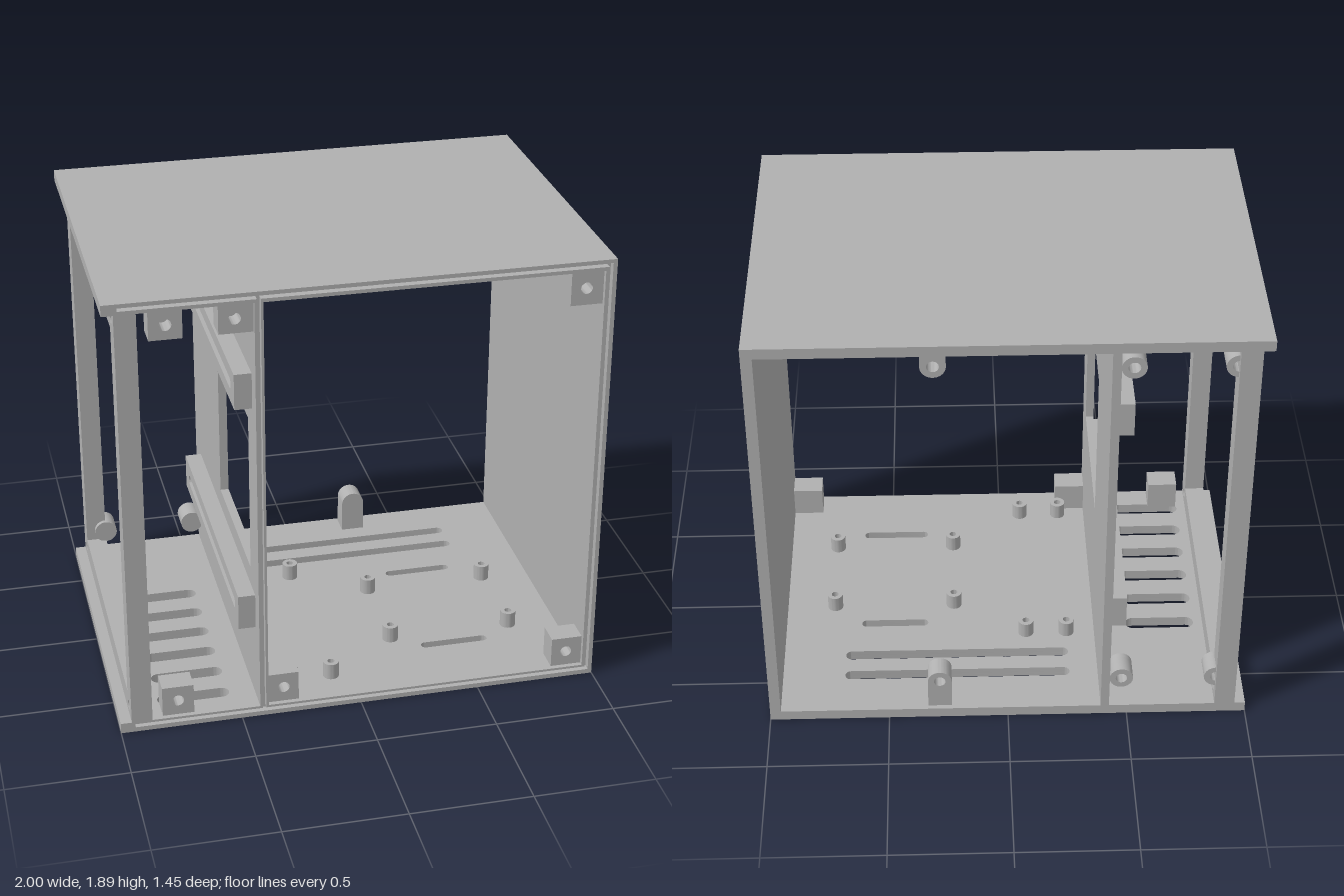
import * as THREE from 'three';
import { toCreasedNormals } from 'three/addons/utils/BufferGeometryUtils.js';

const W = 1, H = 1.89, D = 0.725, T = 0.045;   // half width, height, half depth, wall
const DIV = [-0.425, -0.39];                   // divider x range
const GROOVE = 0.03;                           // depth of the front lip groove

// ---- 2D outlines ----
const poly = (pts) => new THREE.Shape(pts.map(([x, y]) => new THREE.Vector2(x, y)));
const rect = (x0, x1, y0, y1) => poly([[x0, y0], [x1, y0], [x1, y1], [x0, y1]]);
const disc = (x, y, r) => new THREE.Shape().absarc(x, y, r, 0, Math.PI * 2, false);
const slot = (x0, x1, y, w) => {
  const r = w / 2;
  return new THREE.Shape()
    .absarc(x1 - r, y, r, -Math.PI / 2, Math.PI / 2, false)
    .absarc(x0 + r, y, r, Math.PI / 2, Math.PI * 1.5, false)
    .closePath();
};

export function createModel() {
  const model = new THREE.Group();
  model.name = 'enclosure';
  const grey = new THREE.MeshStandardMaterial({ color: 0xb0b0b0 });
  grey.name = 'grey plastic';

  const add = (name, geometry) => {
    const mesh = new THREE.Mesh(geometry, grey);
    mesh.name = name;
    model.add(mesh);
    return mesh;
  };
  const box = (name, x0, x1, y0, y1, z0, z1) =>
    add(name, new THREE.BoxGeometry(x1 - x0, y1 - y0, z1 - z0)
      .translate((x0 + x1) / 2, (y0 + y1) / 2, (z0 + z1) / 2));

  // Extrude an outline with holes along one axis, from a to b.
  // Outline coordinates: z -> (x, y), y -> (x, -z), x -> (-z, y)
  const extrude = (name, axis, outline, holes, a, b) => {
    const shape = outline.clone();
    shape.holes = holes;
    let g = new THREE.ExtrudeGeometry(shape, { depth: b - a, bevelEnabled: false, curveSegments: 16 });
    g.translate(0, 0, a);
    if (axis === 'y') g.rotateX(-Math.PI / 2);
    if (axis === 'x') g.rotateY(Math.PI / 2);
    return add(name, toCreasedNormals(g, 0.6));
  };
  // Screw block along z: bored from one end, closed by a thin web at the other
  const bored = (name, outline, hole, zOpen, zClosed) => {
    const web = zClosed + Math.sign(zOpen - zClosed) * 0.02;
    extrude(name, 'z', outline, [hole], Math.min(zOpen, web), Math.max(zOpen, web));
    extrude(name + 'Web', 'z', outline, [], Math.min(web, zClosed), Math.max(web, zClosed));
  };

  const zf = D - GROOVE;

  // ---- floor with ventilation slots and foot recesses ----
  const slots = [
    slot(-0.27, 0.69, 0.51, 0.05), slot(-0.27, 0.69, 0.385, 0.05),
    slot(0.335, 0.625, 0.18, 0.04), slot(0.335, 0.625, -0.43, 0.04),
  ];
  for (let i = 0; i < 6; i++) slots.push(slot(-0.83, -0.53, 0.21 - i * 0.16, 0.065));
  const feet = [disc(0.83, 0.555, 0.068), disc(-0.83, 0.555, 0.068)];
  const plan = rect(-W, W, -zf, D);
  extrude('floorUnderside', 'y', plan, [...slots, ...feet], 0, 0.02);
  extrude('floor', 'y', plan, slots, 0.02, T);

  // ---- roof, side wall and divider with window ----
  box('roof', -W, W, H - T, H, -D, zf);
  box('sideWall', W - T, W, T, H - T, -D, zf);
  extrude('divider', 'x', rect(-zf, D, T, H - T), [rect(-0.56, 0.105, 0.61, 1.285)], ...DIV);

  // ---- grooved front edge: outer lip and inner rim ----
  extrude('frontLip', 'z',
    poly([[-W, 0], [W, 0], [W, H], [-W, H], [-W, H - T], [DIV[0], H - T], [DIV[0], T], [-W, T]]),
    [poly([[-0.94, 0.02], [0.983, 0.02], [0.983, 1.875], [-0.94, 1.875],
      [-0.94, 1.86], [-0.415, 1.86], [-0.415, 0.035], [-0.94, 0.035]])], zf, D);
  extrude('frontRim', 'z', rect(-0.4, 0.968, 0.035, 1.86),
    [rect(DIV[1], W - T, T, H - T)], zf, D);

  // ---- open side frame with corner screw holes ----
  const frameHoles = [rect(-0.625, 0.625, 0.135, 1.755)];
  for (const z of [-0.655, 0.655]) for (const y of [0.085, 1.805]) frameHoles.push(disc(z, y, 0.02));
  extrude('sideFrame', 'x', rect(-D, D, T, H - T), frameHoles, -0.955, -0.87);

  // ---- slotted rails on the divider ----
  for (const y of [0.455, 1.445]) {
    extrude('slottedRail', 'x', rect(-0.65, 0.6, y - 0.075, y + 0.075),
      [slot(-0.58, 0.52, y, 0.045)], -0.495, DIV[0]);
  }

  // ---- front screw blocks: x0, x1, y0, y1, hole x, hole y ----
  const blocks = [
    [-0.825, -0.695, 1.72, H - T, -0.76, 1.78], [-0.56, DIV[0], 1.72, H - T, -0.497, 1.78],
    [0.825, W - T, 1.7, H - T, 0.888, 1.77], [-0.825, -0.695, T, 0.175, -0.76, 0.11],
    [DIV[1], -0.26, T, 0.175, -0.322, 0.11], [0.825, W - T, T, 0.175, 0.888, 0.11],
  ];
  for (const [x0, x1, y0, y1, hx, hy] of blocks) {
    bored('frontScrewBlock', rect(x0, x1, y0, y1), disc(hx, hy, 0.024), 0.705, 0.605);
  }

  // ---- rear round bosses and rounded lugs ----
  for (const y of [0.18, 1.765]) {
    for (const x of [-0.87, -0.475]) {
      bored('rearBoss', disc(x, y, 0.049), disc(x, y, 0.024), -0.705, -0.605);
    }
  }
  const lug = (y, wallY, up) => new THREE.Shape()
    .moveTo(0.335, wallY)
    .lineTo(0.335, y)
    .absarc(0.285, y, 0.05, 0, Math.PI, !up)
    .lineTo(0.235, wallY);
  bored('rearLug', lug(0.18, T, true), disc(0.285, 0.18, 0.024), -0.705, -0.615);
  bored('rearLug', lug(1.785, H - T, false), disc(0.285, 1.785, 0.024), -0.705, -0.615);

  // ---- board standoffs on the floor ----
  const groups = [[[-0.268, -0.092], [-0.255, 0.565]], [[0.22, 0.745], [-0.06, 0.345]]];
  for (const [xs, zs] of groups) for (const x of xs) for (const z of zs) {
    extrude('standoff', 'y', disc(x, -z, 0.033), [disc(x, -z, 0.015)], T, 0.115);
  }

  return model;
}
